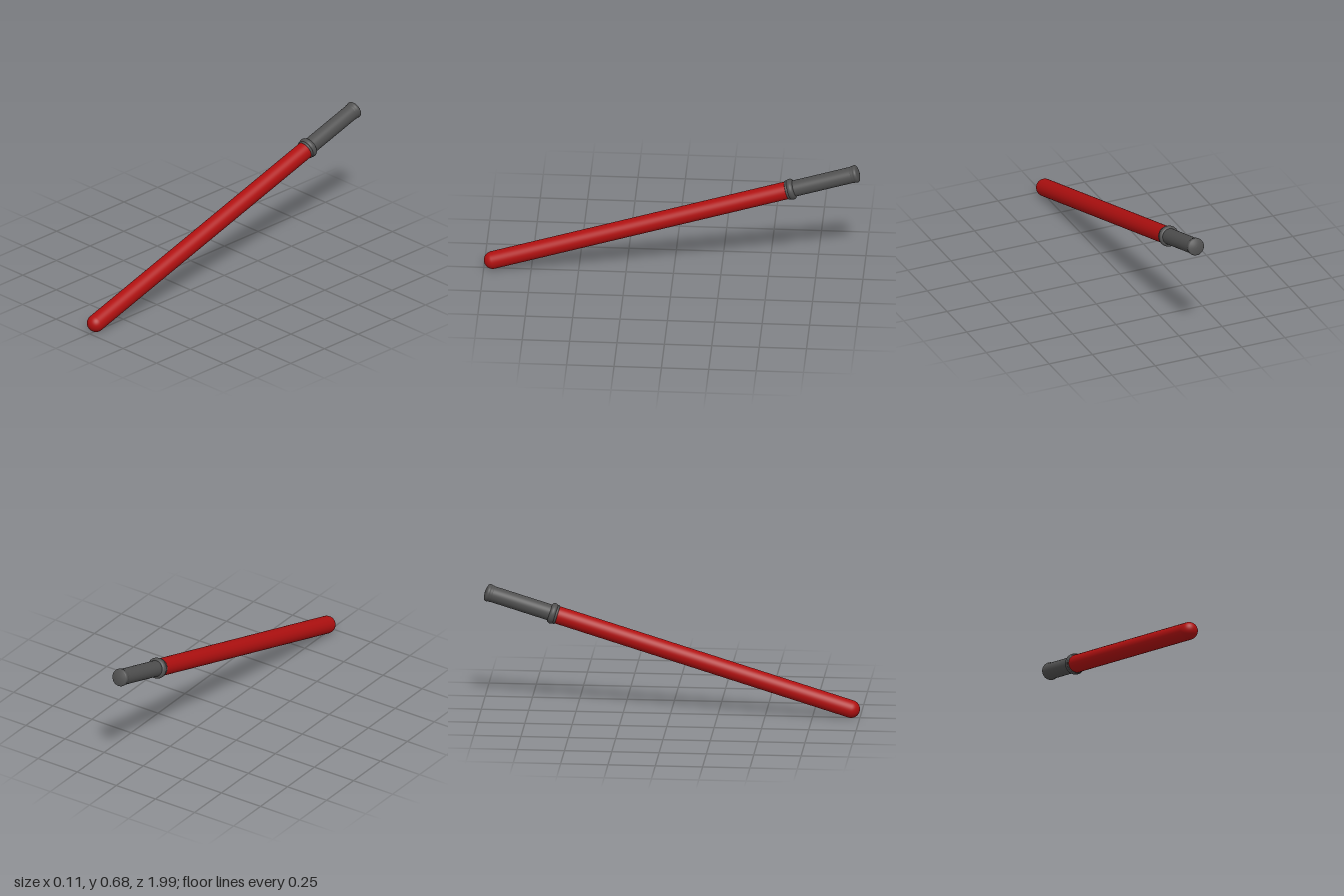
import * as THREE from 'three';

const TILT = 0.3; // rise of the baton from tip to pommel, in radians
const R = 0.047; // blade radius

// Turned part around the baton's axis; profile points are [radius, distance from tip centre]
function turned(name, profile, color) {
  const points = profile.map(([r, t]) => new THREE.Vector2(r, t));
  const mesh = new THREE.Mesh(
    new THREE.LatheGeometry(points, 48),
    new THREE.MeshStandardMaterial({ color })
  );
  mesh.name = name;
  return mesh;
}

// Arc of profile points bulging outwards from the axis
function arc(r0, t0, rr, rt, from, to, steps) {
  return Array.from({ length: steps + 1 }, (_, i) => {
    const a = from + ((to - from) * i) / steps;
    return [Math.max(0, r0 + rr * Math.cos(a)), t0 + rt * Math.sin(a)];
  });
}

export function createModel() {
  const model = new THREE.Group();
  model.name = 'baton';
  const axis = new THREE.Group();
  axis.name = 'batonAxis';
  const H = Math.PI / 2;
  const red = 0xb01010;
  const grey = 0x505050;

  // Long tube with a rounded tip
  axis.add(turned('blade', [...arc(0, 0, R, R, -H, 0, 14), [R, 1.64]], red));

  // Collar: a thin front lip followed by a larger rounded ring
  axis.add(turned('collarLip', [[0.046, 1.622], ...arc(0.046, 1.63, 0.006, 0.007, -H, H, 8)], grey));
  axis.add(turned('collarRing', [[0.04, 1.632], ...arc(0.043, 1.649, 0.0128, 0.017, -H, H, 14), [0.04, 1.666]], grey));

  // Grip
  axis.add(turned('grip', [[0.043, 1.64], [0.043, 2.0]], grey));

  // Pommel: slight flare, rounded rim and a shallow domed end
  axis.add(turned('pommel', [
    [0.043, 1.982], [0.0445, 1.987],
    ...arc(0.037, 2.004, 0.01, 0.013, -0.8, 1.2, 8),
    [0.03, 2.0195], [0.02, 2.0225], [0.01, 2.024], [0, 2.0245],
  ], grey));

  // Lay the axis backwards and rising, with the tip resting on the ground
  axis.rotation.x = -(H - TILT);
  axis.position.set(0, R, 1 - R);
  model.add(axis);
  return model;
}
